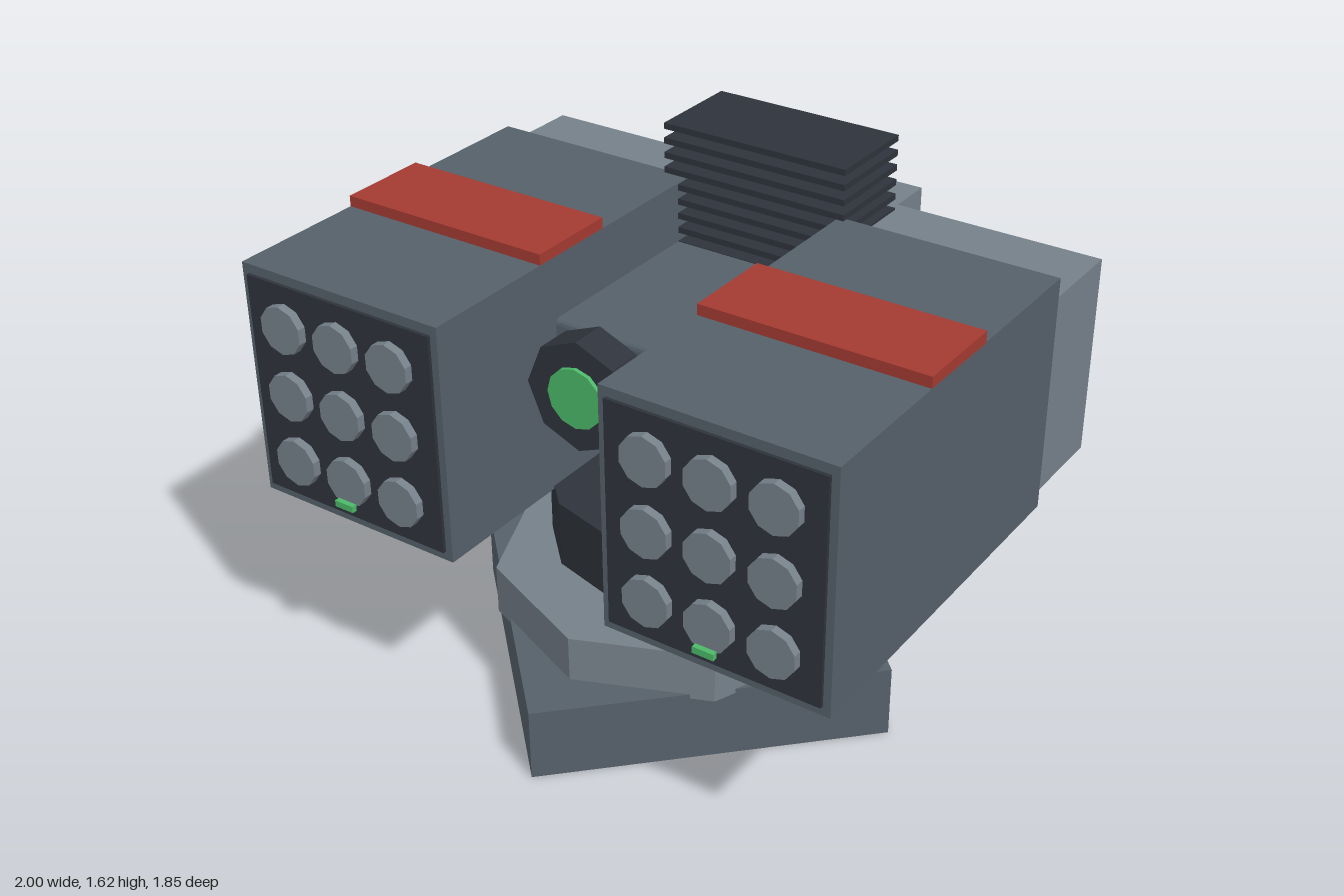
import * as THREE from 'three';
import { RoundedBoxGeometry } from 'three/addons/geometries/RoundedBoxGeometry.js';

const paint = (color) => new THREE.MeshStandardMaterial({ color, flatShading: true });

export function createModel() {
  const steel = paint(0x55606a);
  const light = paint(0x75808a);
  const dark = paint(0x2e333b);
  const red = paint(0xa33a31);
  const green = paint(0x4bb868);

  const model = new THREE.Group();
  model.name = 'missileTurret';

  const add = (parent, name, geometry, material, x, y, z) => {
    const mesh = new THREE.Mesh(geometry, material);
    mesh.name = name;
    mesh.position.set(x, y, z);
    parent.add(mesh);
    return mesh;
  };

  // Box given by its min and max on each axis
  const box = (parent, name, material, [x0, x1], [y0, y1], [z0, z1], radius = 0) => {
    const size = [x1 - x0, y1 - y0, z1 - z0];
    const geometry = radius
      ? new RoundedBoxGeometry(...size, 2, radius)
      : new THREE.BoxGeometry(...size);
    return add(parent, name, geometry, material, (x0 + x1) / 2, (y0 + y1) / 2, (z0 + z1) / 2);
  };

  // Upright prism with a corner facing the front
  const prism = (name, material, radius, sides, y0, y1) =>
    add(model, name, new THREE.CylinderGeometry(radius, radius, y1 - y0, sides), material, 0, (y0 + y1) / 2, 0.11);

  // Disc facing the front, with a corner at the top
  const disc = (parent, name, material, radius, sides, x, y, z0, z1) => {
    const geometry = new THREE.CylinderGeometry(radius, radius, z1 - z0, sides).rotateX(Math.PI / 2);
    return add(parent, name, geometry, material, x, y, (z0 + z1) / 2);
  };

  // Pedestal
  prism('base', steel, 0.78, 4, 0, 0.24);
  prism('baseRing', light, 0.58, 8, 0.225, 0.39);
  prism('swivelNeck', dark, 0.4, 12, 0.45, 0.67);

  // Central body, rear motor block and sensor eye
  box(model, 'body', steel, [-0.3, 0.3], [0.87, 1.23], [-0.38, 0.345], 0.02);
  box(model, 'motorBlock', light, [-0.25, 0.25], [0.78, 1.31], [-0.925, -0.36]);
  disc(model, 'sensorHousing', dark, 0.175, 8, 0, 1.175, 0.49, 0.605);
  disc(model, 'sensorLens', green, 0.095, 12, 0, 1.175, 0.59, 0.618);

  // Stack of cooling fins
  for (let i = 0; i < 9; i++) {
    const y = 1.61 - i * 0.0485;
    box(model, 'coolingFin', dark, [-0.323, 0.323], [y - 0.01, y + 0.01], [-0.61, -0.29]);
  }

  // Launcher pods on both sides
  for (const side of [-1, 1]) {
    const pod = new THREE.Group();
    pod.name = side > 0 ? 'leftPod' : 'rightPod';
    pod.position.x = side * 0.636;
    model.add(pod);

    box(pod, 'podHousing', steel, [-0.364, 0.364], [0.66, 1.43], [-0.355, 0.867]);
    box(pod, 'podRear', light, [-0.364, 0.364], [0.72, 1.37], [-0.65, -0.34]);
    box(pod, 'podStripe', red, [-0.364, 0.364], [1.42, 1.465], [0.105, 0.408]);
    box(pod, 'tubePanel', dark, [-0.34, 0.34], [0.69, 1.4], [0.85, 0.878]);
    box(pod, 'podLight', green, [-0.034, 0.034], [0.74, 0.761], [0.905, 0.922]);

    // Three by three launch tubes
    for (let row = -1; row <= 1; row++) {
      for (let col = -1; col <= 1; col++) {
        disc(pod, 'launchTube', light, 0.077, 10, col * 0.2, 1.045 + row * 0.223, 0.865, 0.905);
      }
    }

    // Bracket joining the pod to the neck
    const inner = side * 0.435;
    box(model, 'podBracket', light, [inner - 0.078, inner + 0.078], [0.55, 0.75], [-0.065, 0.28], 0.02);
  }

  return model;
}
